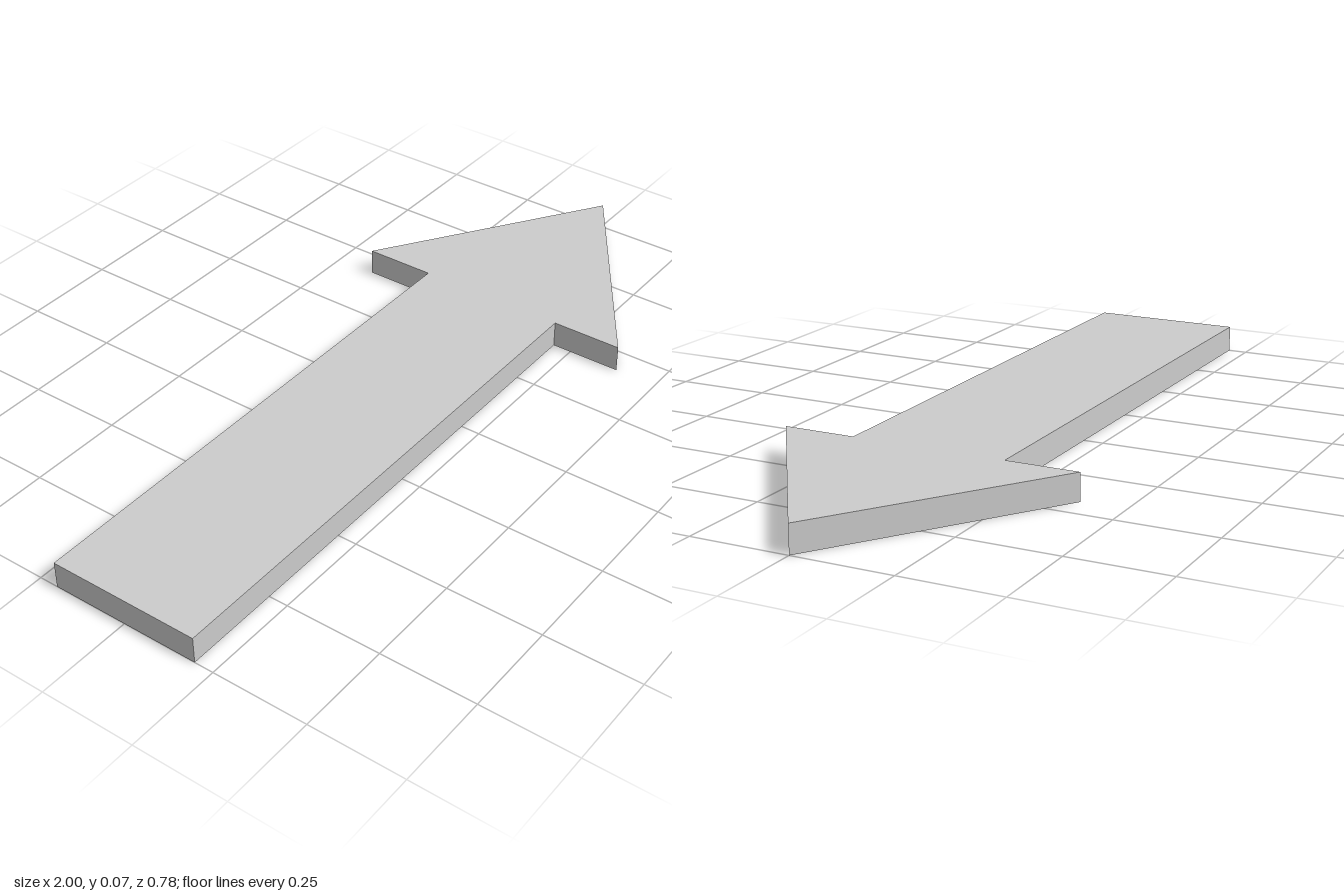
import * as THREE from 'three';

const THICKNESS = 0.07;
const TAIL_X = -1, NECK_X = 0.425, TIP_X = 1;
const SHAFT_HALF = 0.2, HEAD_HALF = 0.388;

export function createModel() {
  const group = new THREE.Group();
  group.name = 'arrow';

  // Flat arrow outline pointing along +x: shaft, barbs and tip
  const outline = new THREE.Shape([
    [TAIL_X, -SHAFT_HALF],
    [NECK_X, -SHAFT_HALF],
    [NECK_X, -HEAD_HALF],
    [TIP_X, 0],
    [NECK_X, HEAD_HALF],
    [NECK_X, SHAFT_HALF],
    [TAIL_X, SHAFT_HALF],
  ].map(([x, y]) => new THREE.Vector2(x, y)));

  // Extruded upwards into a slab lying on the ground
  const geometry = new THREE.ExtrudeGeometry(outline, { depth: THICKNESS, bevelEnabled: false });
  geometry.rotateX(-Math.PI / 2);

  const material = new THREE.MeshStandardMaterial({ color: 0xcccccc, flatShading: true });
  const body = new THREE.Mesh(geometry, material);
  body.name = 'arrowBody';
  group.add(body);
  return group;
}
